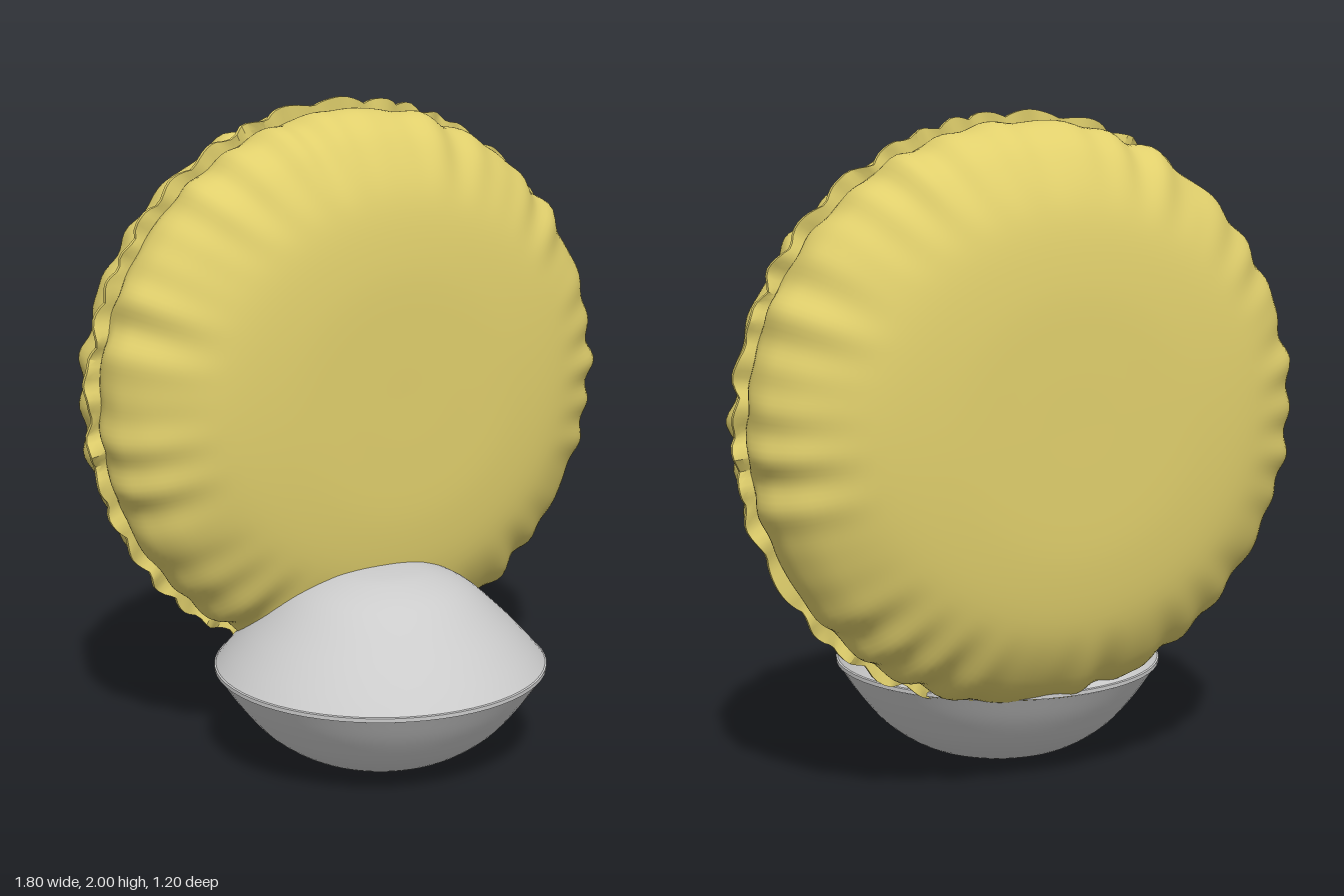
import * as THREE from 'three';
import { mergeVertices, toCreasedNormals } from 'three/addons/utils/BufferGeometryUtils.js';

const SEGMENTS = 288;
const yellow = new THREE.MeshStandardMaterial({ color: 0xe0cf6c, side: THREE.DoubleSide });
const grey = new THREE.MeshStandardMaterial({ color: 0xcccccc, side: THREE.DoubleSide });
const v2 = ([x, y]) => new THREE.Vector2(Math.max(x, 0), y);

// Smooth curve through a few profile points
const smooth = (pts, n) => new THREE.SplineCurve(pts.map(v2)).getPoints(n).map((p) => v2([p.x, p.y]));

// Uneven wave around the rim, always a whole number of periods
const wave = (a, n, phase) =>
  0.5 * Math.sin(n * a + phase + 1.4 * Math.sin(3 * a + phase)) +
  0.3 * Math.sin((n + 9) * a + 2 * phase) +
  0.3 * Math.sin((n - 11) * a + 3.1 * phase);

// Waviness of the stitched line where both halves meet
const seamZ = (a) => 0.008 + 0.012 * wave(a, 37, 0.8);

// Lathe turned to face +z, then each vertex moved by rule(radius, angle, z) -> [radius, z]
function ruffledDisc(profile, rule) {
  let g = new THREE.LatheGeometry(profile, SEGMENTS);
  g.rotateX(Math.PI / 2);
  g.deleteAttribute('uv');
  g.deleteAttribute('normal');
  g = mergeVertices(g, 1e-5);
  const p = g.attributes.position;
  for (let i = 0; i < p.count; i++) {
    const a = Math.atan2(p.getY(i), p.getX(i));
    const [r, z] = rule(Math.hypot(p.getX(i), p.getY(i)), a, p.getZ(i));
    p.setXYZ(i, r * Math.cos(a), r * Math.sin(a) * 0.985, z);
  }
  g.computeVertexNormals();
  return g;
}

function add(parent, name, geometry, material) {
  const mesh = new THREE.Mesh(geometry, material);
  mesh.name = name;
  parent.add(mesh);
}

export function createModel() {
  const model = new THREE.Group();

  // Puffed round cushion with gathers that deepen toward the rim
  const cushion = new THREE.Group();
  cushion.name = 'cushion';
  cushion.position.set(0, 1.115, -0.245);
  model.add(cushion);
  const half = [[0.874, 0], [0.872, 0.07], [0.845, 0.15], [0.77, 0.235], [0.62, 0.315], [0.42, 0.349], [0.2, 0.355], [0, 0.355]];
  const back = half.slice(1).reverse().map(([r, z]) => [r, -z]);
  add(cushion, 'cushionBody', ruffledDisc(smooth([...back, ...half], 72), (r, a, z) => {
    const gather = THREE.MathUtils.smoothstep(r, 0.6, 0.87);
    const nearSeam = 1 - THREE.MathUtils.smoothstep(Math.abs(z), 0, 0.3);
    const pleat = wave(a, 30, z > 0 ? 0.4 : 2.3) * (1 - Math.exp(-Math.abs(z) / 0.04));
    const pinch = 0.022 * Math.exp(-Math.abs(z) / 0.05);
    return [
      r + gather * nearSeam * 0.016 * pleat - pinch,
      z + Math.sign(z) * gather * 0.014 * pleat + seamZ(a) * nearSeam,
    ];
  }), yellow);

  // Thin scalloped frill along the seam
  const frill = [[0.83, -0.007], [0.875, -0.007], [0.9, -0.007], [0.9, 0.007], [0.875, 0.007], [0.83, 0.007]].map(v2);
  add(cushion, 'seamFrill', toCreasedNormals(ruffledDisc(frill, (r, a, z) => {
    const out = (r - 0.83) / 0.07;
    const scallop = Math.abs(Math.sin(20 * a + 0.9 * Math.sin(5 * a) + 0.5 * Math.sin(9 * a + 1)));
    return [
      r + out * (0.02 * scallop - 0.019 + 0.005 * wave(a, 23, 1.7)),
      z + seamZ(a) + out * 0.009 * wave(a, 61, 2.2),
    ];
  }), 0.6), yellow);

  // Rounded base made of two shells that meet in a narrow band
  const base = new THREE.Group();
  base.name = 'base';
  base.position.set(-0.085, 0, 0.09);
  model.add(base);
  const lower = [[0, 0], [0.14, 0.007], [0.25, 0.03], [0.36, 0.1], [0.445, 0.195], [0.508, 0.288]];
  const upper = [[0.508, 0.304], [0.465, 0.355], [0.39, 0.433], [0.275, 0.535], [0.165, 0.583], [0.08, 0.597], [0, 0.6]];
  const band = [[0.5, 0.287], [0.513, 0.29], [0.513, 0.302], [0.5, 0.305]].map(v2);
  add(base, 'baseLowerShell', new THREE.LatheGeometry(smooth(lower, 24), 64), grey);
  add(base, 'baseUpperShell', new THREE.LatheGeometry(smooth(upper, 24), 64), grey);
  add(base, 'baseSeamBand', toCreasedNormals(new THREE.LatheGeometry(band, 64), 0.5), grey);

  return model;
}
